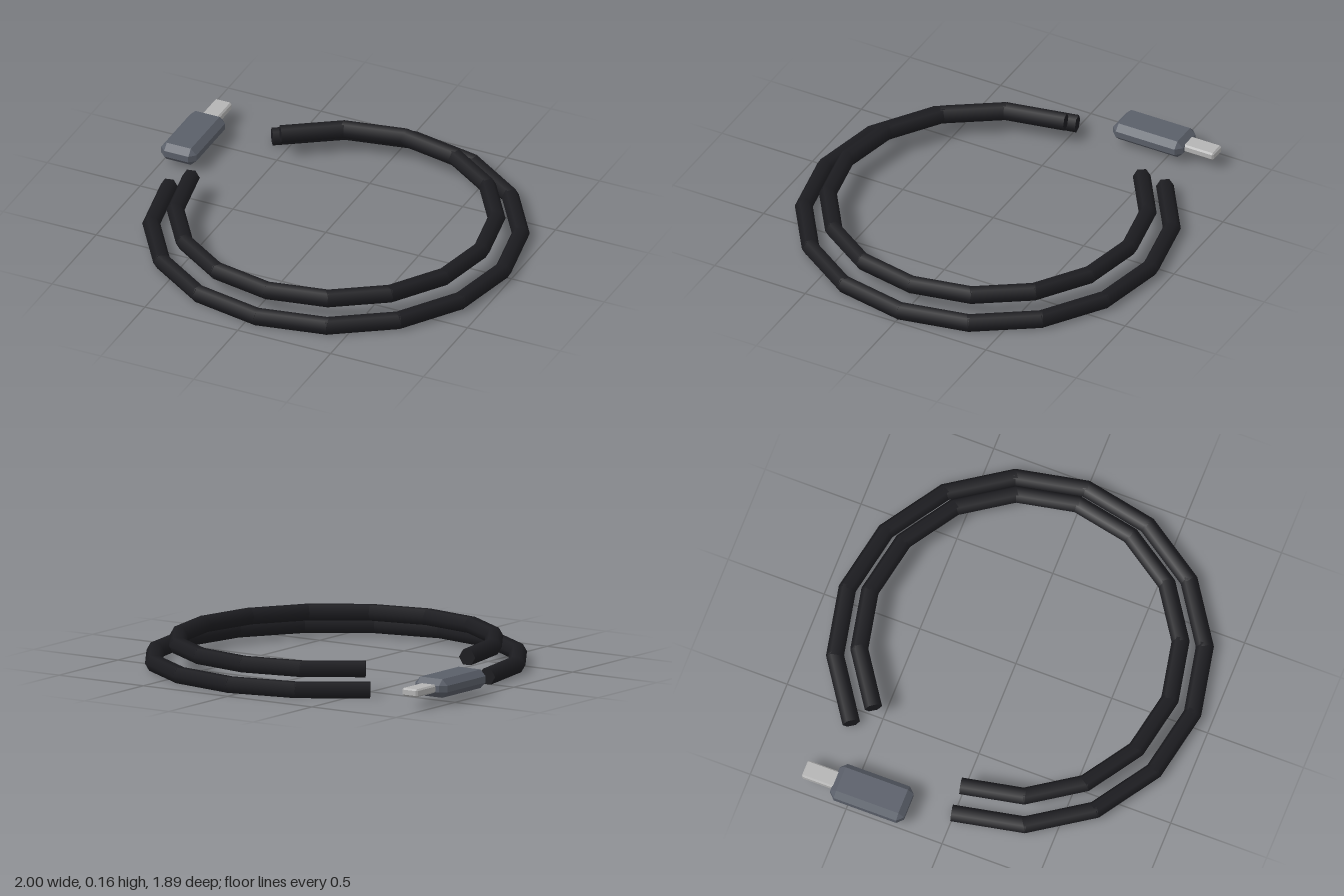
import * as THREE from 'three';
import { ConvexGeometry } from 'three/addons/geometries/ConvexGeometry.js';

const cordMat = new THREE.MeshStandardMaterial({ color: 0x1c1c20 });
const bodyMat = new THREE.MeshStandardMaterial({ color: 0x5a5f69 });
const metalMat = new THREE.MeshStandardMaterial({ color: 0xb4b4b4 });

const STEP = Math.PI / 8;      // sixteen segments to a full turn
const SEGMENTS = 14;           // the loop stays open at the back left
const CORD_RADIUS = 0.0433;

// Open loop of straight hexagonal rods that overlap slightly at the joints
function cordLoop(name, radius, y) {
  const loop = new THREE.Group();
  loop.name = name;
  loop.position.set(0.055, y, 0);
  const length = 2 * radius * Math.sin(STEP / 2) * 1.05;
  const rod = new THREE.CylinderGeometry(CORD_RADIUS, CORD_RADIUS, length, 6);
  rod.rotateZ(Math.PI / 2);
  const apothem = radius * Math.cos(STEP / 2);
  for (let i = 0; i < SEGMENTS; i++) {
    const a = -0.75 * Math.PI + (i + 0.5) * STEP;
    const mesh = new THREE.Mesh(rod, cordMat);
    mesh.name = 'cordSegment';
    mesh.position.set(Math.cos(a) * apothem, 0, Math.sin(a) * apothem);
    mesh.rotation.y = Math.PI / 2 - a;
    loop.add(mesh);
  }
  return loop;
}

// Box with every edge cut at 45 degrees
function chamferBox(w, h, d, c) {
  const points = [];
  for (const x of [-1, 1]) for (const y of [-1, 1]) for (const z of [-1, 1]) {
    for (let face = 0; face < 3; face++) {
      const cut = [0, 1, 2].map((axis) => (axis === face ? 0 : c));
      points.push(new THREE.Vector3(x * (w / 2 - cut[0]), y * (h / 2 - cut[1]), z * (d / 2 - cut[2])));
    }
  }
  return new ConvexGeometry(points);
}

export function createModel() {
  const model = new THREE.Group();
  model.name = 'coiledCable';

  // Two stacked turns of cord
  model.add(cordLoop('outerCord', 0.9, 0.0375));
  model.add(cordLoop('innerCord', 0.782, 0.121));

  // Plug with a metal tip pointing to the back
  const plug = new THREE.Group();
  plug.name = 'plug';
  plug.position.set(-0.905, 0.075, 0);
  const body = new THREE.Mesh(chamferBox(0.19, 0.092, 0.385, 0.03), bodyMat);
  body.name = 'plugBody';
  body.position.z = -0.402;
  const tip = new THREE.Mesh(chamferBox(0.09, 0.04, 0.17, 0.008), metalMat);
  tip.name = 'plugTip';
  tip.position.z = -0.667;
  plug.add(body, tip);
  model.add(plug);

  return model;
}
